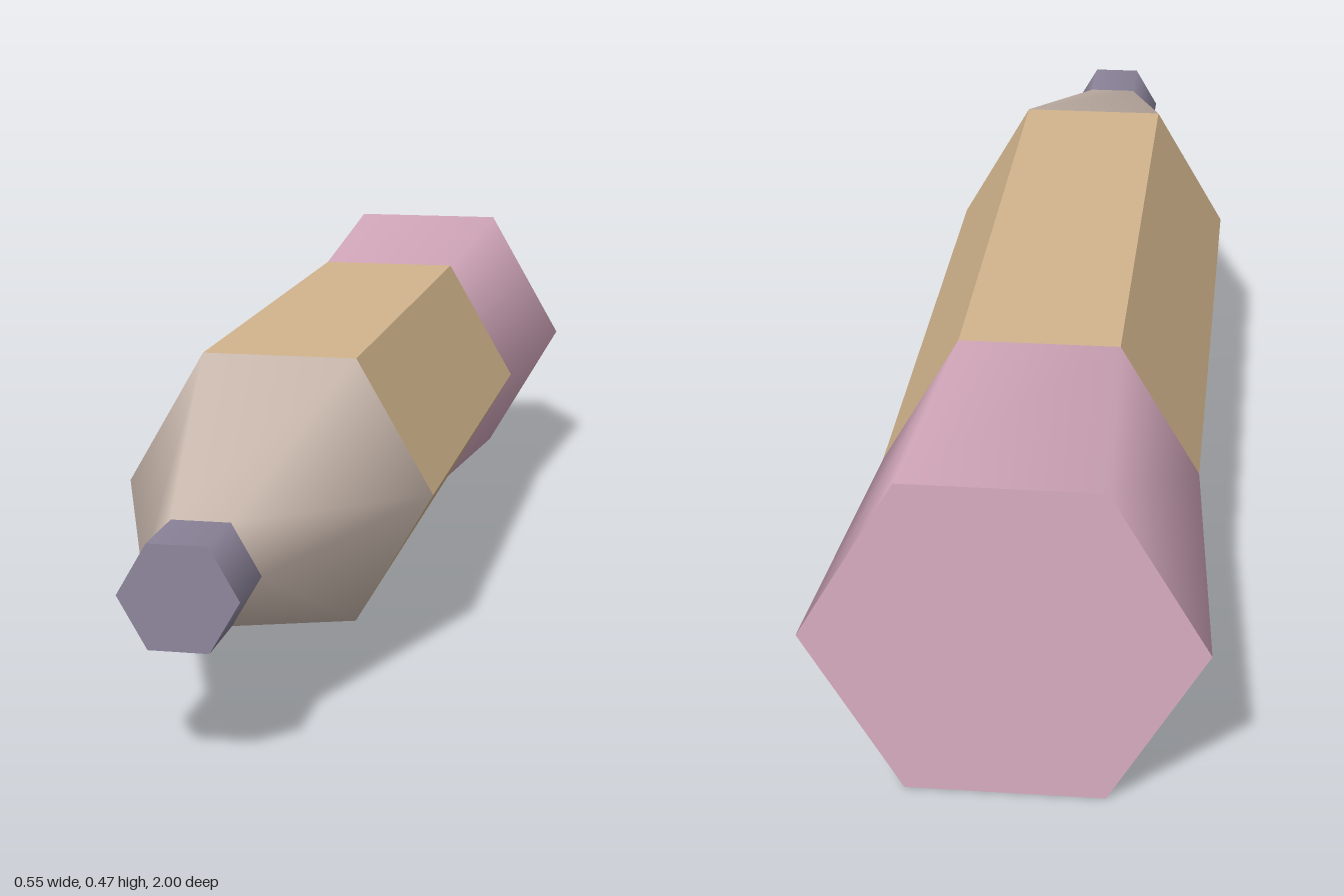
import * as THREE from 'three';

export function createModel() {
  const pencil = new THREE.Group();
  pencil.name = 'pencil';

  const material = (name, color, flatShading = false) => {
    const m = new THREE.MeshStandardMaterial({ color, flatShading });
    m.name = name;
    return m;
  };

  // Six-sided section along z, with corners on the left and right
  const section = (name, z0, z1, r0, r1, mat) => {
    const geometry = new THREE.CylinderGeometry(r1, r0, z1 - z0, 6, 1, false, Math.PI / 2);
    geometry.rotateX(Math.PI / 2);
    const mesh = new THREE.Mesh(geometry, mat);
    mesh.name = name;
    mesh.position.set(0, 0.236, (z0 + z1) / 2);
    pencil.add(mesh);
  };

  // Flared eraser at the back, faceted body, sharpened wood and blunt lead
  section('eraser', -1, -0.53, 0.273, 0.236, material('pink rubber', 0xd8acc0));
  section('body', -0.53, 0.41, 0.236, 0.236, material('tan paint', 0xd2b48c, true));
  section('sharpenedWood', 0.41, 0.88, 0.236, 0.082, material('pale wood', 0xccbbb0));
  section('lead', 0.88, 1, 0.082, 0.082, material('grey lead', 0x8e869c));

  return pencil;
}
